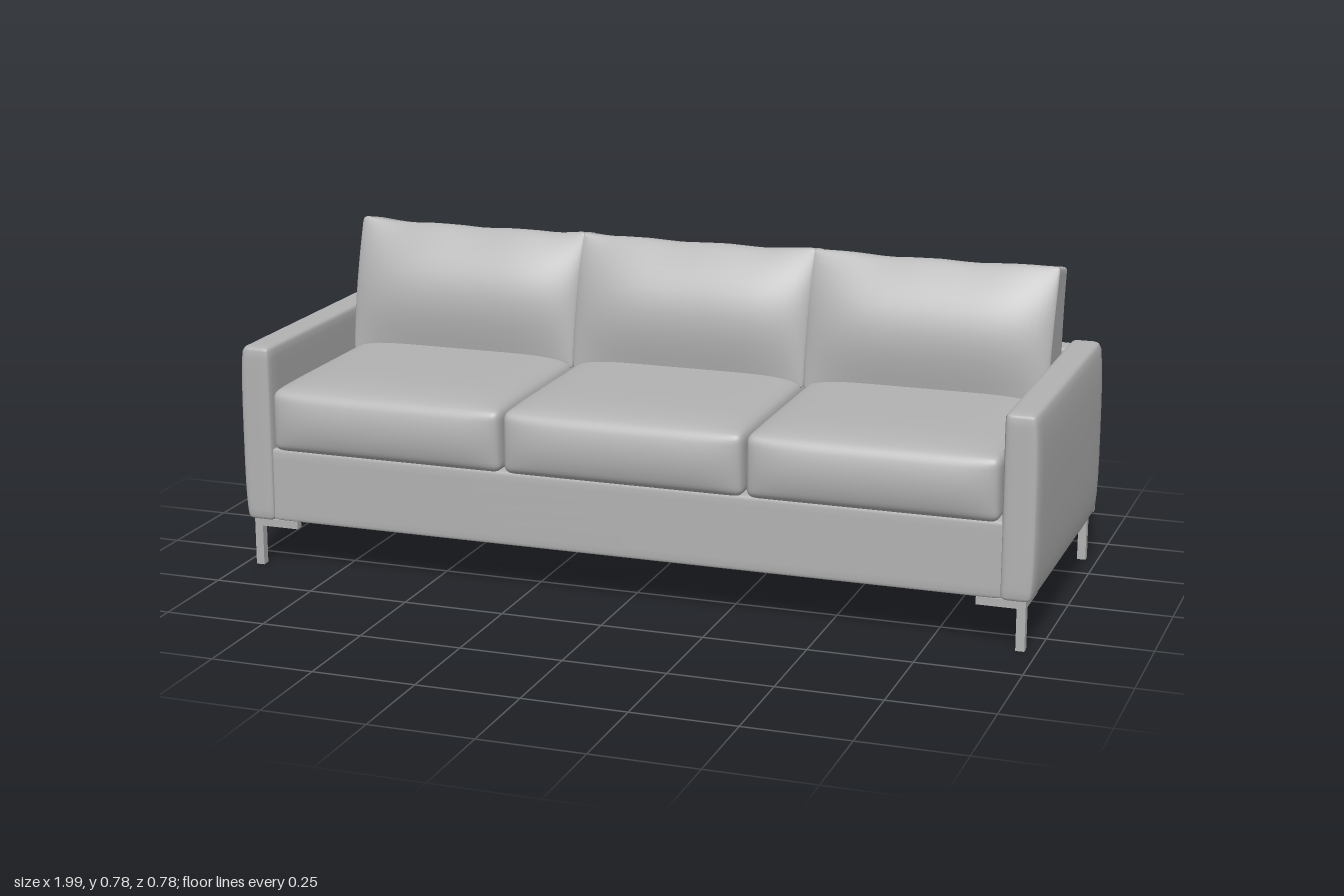
import * as THREE from 'three';
import { mergeVertices } from 'three/addons/utils/BufferGeometryUtils.js';

// Rounded box between two corners, with an optional warp(p, u, v, w);
// u, v, w run from -1 to 1 across the box.
function softBox(min, max, radius, segments, warp) {
  const lo = new THREE.Vector3(...min), hi = new THREE.Vector3(...max);
  const centre = lo.clone().add(hi).multiplyScalar(0.5);
  const half = hi.clone().sub(lo).multiplyScalar(0.5);
  const inner = half.clone().subScalar(radius);
  let geo = new THREE.BoxGeometry(2, 2, 2, segments, segments, segments);
  geo.deleteAttribute('normal');
  geo.deleteAttribute('uv');
  geo = mergeVertices(geo);
  const pos = geo.attributes.position;
  const p = new THREE.Vector3(), core = new THREE.Vector3();
  const crowd = (t) => Math.sign(t) * (1 - (1 - Math.abs(t)) ** 2.4); // denser near edges
  for (let i = 0; i < pos.count; i++) {
    p.fromBufferAttribute(pos, i);
    p.set(crowd(p.x), crowd(p.y), crowd(p.z)).multiply(half);
    core.copy(p).clamp(inner.clone().negate(), inner);
    p.sub(core).setLength(radius).add(core);
    const u = p.x / half.x, v = p.y / half.y, w = p.z / half.z;
    p.add(centre);
    if (warp) warp(p, u, v, w);
    pos.setXYZ(i, p.x, p.y, p.z);
  }
  geo.computeVertexNormals();
  return geo;
}

export function createModel() {
  const sofa = new THREE.Group();
  sofa.name = 'sofa';
  const grey = new THREE.MeshStandardMaterial({ color: 0xb2b2b2 });
  grey.name = 'grey';

  const add = (name, geo, parent = sofa) => {
    const mesh = new THREE.Mesh(geo, grey);
    mesh.name = name;
    parent.add(mesh);
    return mesh;
  };
  const block = (name, min, max, parent) => {
    const size = max.map((m, i) => m - min[i]);
    const mesh = add(name, new THREE.BoxGeometry(...size), parent);
    mesh.position.set(...max.map((m, i) => (m + min[i]) / 2));
  };

  // Frame: seat deck, front rail, back and its outer panel
  block('seatDeck', [-0.92, 0.13, -0.34], [0.92, 0.29, 0.33]);
  add('frontRail', softBox([-0.92, 0.12, 0.3], [0.92, 0.305, 0.358], 0.01, 10));
  add('backRest', softBox([-0.925, 0.12, -0.383], [0.925, 0.55, -0.31], 0.012, 10));
  add('backPanel', softBox([-0.985, 0.12, -0.388], [0.985, 0.542, -0.372], 0.004, 8));

  // Arms, with a slightly swollen outer side
  for (const side of [-1, 1]) {
    const min = [side > 0 ? 0.91 : -0.985, 0.118, -0.384];
    const max = [side > 0 ? 0.985 : -0.91, 0.56, 0.366];
    add(side > 0 ? 'leftArm' : 'rightArm', softBox(min, max, 0.017, 14, (p, u, v, w) => {
      if (u * side > 0) p.x += side * 0.011 * u * side * (1 - v ** 4) * (1 - 0.3 * w ** 8);
    }));
  }

  // Three seat cushions and three back cushions
  for (let i = -1; i <= 1; i++) {
    const x = i * 0.606, hw = 0.3;
    add('seatCushion', softBox([x - hw, 0.3, -0.3], [x + hw, 0.455, 0.368], 0.022, 22, (p, u, v, w) => {
      if (v > 0) p.y += 0.02 * v * (1 - u ** 6) * (1 - w ** 6);
      if (w > 0) p.z += 0.02 * w ** 4 * (1 - v * v) * (1 - u ** 6);
    }));

    add('backCushion', softBox([x - 0.303, 0.445, -1], [x + 0.303, 0.776, 1], 0.012, 24, (p, u, v, w) => {
      const t = (v + 1) / 2;
      const bulge = 0.045 * Math.sin(Math.PI * t ** 1.2) * (1 - u ** 4);
      const halfDepth = 0.085 - 0.04 * t + bulge;
      // round the corners of the depth direction a little
      const edge = 1 - 0.08 * Math.max(Math.abs(u) ** 30, Math.abs(v) ** 30);
      p.z = -0.19 - 0.05 * t * t + w * halfDepth * edge;
      // top falls to the rear and has a shallow sag between the corners
      p.y += t ** 4 * (0.009 * w - 0.011 + 0.006 * u ** 4 + 0.002 * Math.sin(9 * u + 2 * i));
      p.x += u * 0.004 * t;
    }));
  }

  // Legs: slim square post with an L-shaped mounting bracket
  for (const sx of [-1, 1]) {
    for (const sz of [-1, 1]) {
      const leg = new THREE.Group();
      leg.name = (sz > 0 ? 'front' : 'back') + (sx > 0 ? 'Left' : 'Right') + 'Leg';
      sofa.add(leg);
      const bar = (name, x0, x1, y0, y1, z0, z1) => block(name,
        [Math.min(sx * x0, sx * x1), y0, Math.min(sz * z0, sz * z1)],
        [Math.max(sx * x0, sx * x1), y1, Math.max(sz * z0, sz * z1)], leg);
      const z = sz > 0 ? 0.352 : 0.377;
      bar('post', 0.95, 0.971, 0, 0.12, z - 0.021, z);
      bar('sideBracket', 0.95, 0.971, 0.101, 0.12, z - 0.125, z - 0.021);
      bar('crossBracket', 0.855, 0.95, 0.101, 0.12, z - 0.021, z);
    }
  }
  return sofa;
}
